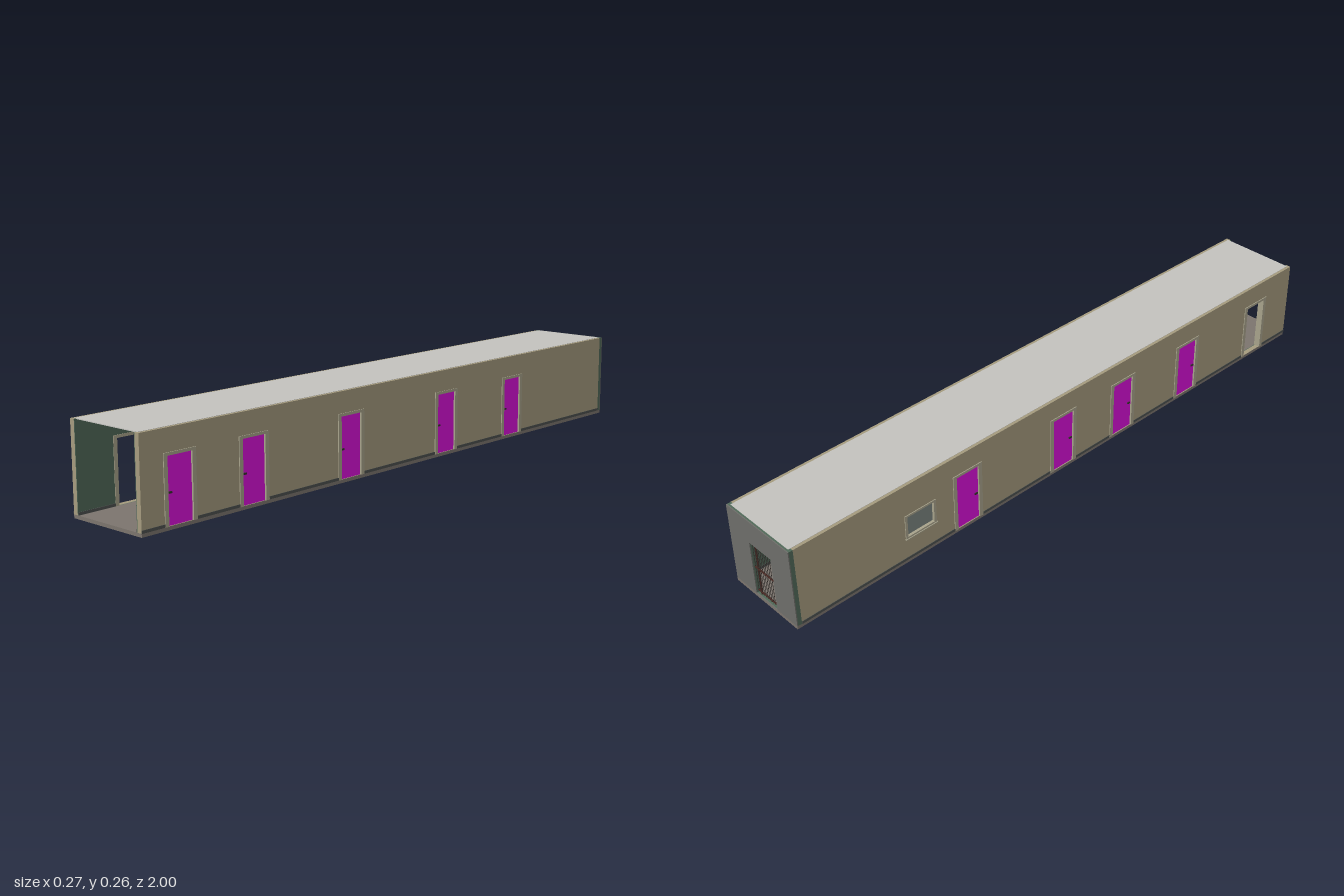
import * as THREE from 'three';

const mat = (color) => new THREE.MeshStandardMaterial({ color });
const beige = mat(0xa79d80), green = mat(0x526b5a), grey = mat(0x6f6f6b), dark = mat(0x4e5250);
const pale = mat(0xc6c5c1), floorMat = mat(0x7d766f), frameMat = mat(0xaaa58d), magenta = mat(0xdd10dd);
const iron = mat(0x35302d), cream = mat(0xb5ac8e), glass = mat(0x7c8681), brown = mat(0x4a2a24);

// Box given by its extents on each axis
function box(parent, name, material, x0, x1, y0, y1, z0, z1) {
  const m = new THREE.Mesh(new THREE.BoxGeometry(x1 - x0, y1 - y0, z1 - z0), material);
  m.position.set((x0 + x1) / 2, (y0 + y1) / 2, (z0 + z1) / 2);
  m.name = name;
  parent.add(m);
  return m;
}

// Upright panel with rectangular holes [u0, u1, y0, y1]
function panelGeometry(u0, u1, y0, y1, depth, holes) {
  const rect = (S, a, b, c, d) => {
    const s = new S();
    s.moveTo(a, c); s.lineTo(b, c); s.lineTo(b, d); s.lineTo(a, d); s.closePath();
    return s;
  };
  const shape = rect(THREE.Shape, u0, u1, y0, y1);
  for (const h of holes) shape.holes.push(rect(THREE.Path, ...h));
  return new THREE.ExtrudeGeometry(shape, { depth, bevelEnabled: false });
}

// Panel running along z, between x0 and x1
function sidePanel(parent, name, material, x0, x1, holes) {
  const flipped = holes.map(([a, b, c, d]) => [-b, -a, c, d]);
  const m = new THREE.Mesh(panelGeometry(-1, 0.985, 0.01, 0.258, x1 - x0, flipped), material);
  m.rotation.y = Math.PI / 2;
  m.position.x = x0;
  m.name = name;
  parent.add(m);
}

// Panel running along x, between z0 and z1
function endPanel(parent, name, material, z0, z1, hole) {
  const m = new THREE.Mesh(panelGeometry(-0.132, 0.132, 0.01, 0.258, z1 - z0, [hole]), material);
  m.position.z = z0;
  m.name = name;
  parent.add(m);
}

const DOOR_TOP = 0.19, HALF = 0.042;

// Frame around an opening and, if wanted, the closed leaf; side is +1 or -1
function doorway(parent, side, z, leaf) {
  const g = new THREE.Group();
  g.name = leaf ? 'door' : 'openDoorway';
  const xs = (a, b) => side > 0 ? [a, b] : [-b, -a];
  const [f0, f1] = xs(0.1135, 0.1345);
  for (const s of [-1, 1]) {
    const c = z + s * (HALF + 0.004);
    box(g, 'doorJamb', frameMat, f0, f1, 0.01, DOOR_TOP + 0.006, c - 0.006, c + 0.006);
  }
  box(g, 'doorHead', frameMat, f0, f1, DOOR_TOP - 0.002, DOOR_TOP + 0.006, z - HALF, z + HALF);
  if (leaf) {
    box(g, 'doorLeaf', magenta, ...xs(0.119, 0.129), 0.01, DOOR_TOP - 0.002, z - 0.04, z + 0.04);
    box(g, 'doorHandle', iron, ...xs(0.116, 0.132), 0.092, 0.097, z + 0.026, z + 0.036);
  }
  parent.add(g);
}

// Window frame, pane and sill in the right wall
function windowUnit(parent, z) {
  const g = new THREE.Group();
  g.name = 'window';
  for (const s of [-1, 1]) {
    const c = z + s * 0.05;
    box(g, 'windowSideFrame', frameMat, -0.1345, -0.1135, 0.082, 0.16, c - 0.004, c + 0.004);
    const y = s > 0 ? 0.157 : 0.085;
    box(g, 'windowRail', frameMat, -0.1345, -0.1135, y - 0.003, y + 0.003, z - 0.046, z + 0.046);
  }
  box(g, 'windowPane', glass, -0.126, -0.123, 0.088, 0.154, z - 0.046, z + 0.046);
  box(g, 'windowSill', frameMat, -0.137, -0.113, 0.08, 0.083, z - 0.056, z + 0.056);
  parent.add(g);
}

// Skirting inside and outside a wall, interrupted at the doorways
function skirting(parent, side, doors) {
  let start = -0.985;
  const stops = [...doors].sort((a, b) => a - b).map((z) => [z - HALF - 0.01, z + HALF + 0.01]);
  for (const [a, b] of [...stops, [1, 1]]) {
    for (const [x0, x1] of [[0.113, 0.115], [0.132, 0.1335]]) {
      box(parent, 'skirting', dark, side > 0 ? x0 : -x1, side > 0 ? x1 : -x0, 0.01, 0.018, start, a);
    }
    start = b;
  }
}

// Barred gate in the end wall
function gate(parent) {
  const g = new THREE.Group();
  g.name = 'barredGate';
  const bar = new THREE.CylinderGeometry(0.0009, 0.0009, 0.173, 6);
  for (let i = 0; i <= 11; i++) {
    const m = new THREE.Mesh(bar, iron);
    m.position.set(-0.044 + i * 0.008, 0.0965, -0.992);
    m.name = 'gateBar';
    g.add(m);
  }
  for (const y of [0.018, 0.098, 0.177]) box(g, 'gateRail', brown, -0.047, 0.045, y - 0.0015, y + 0.0015, -0.994, -0.990);
  box(g, 'gatePost', brown, 0.028, 0.031, 0.01, 0.183, -0.994, -0.990);
  parent.add(g);
}

// Simple chair with its back to the right wall
function chair(parent, z) {
  const g = new THREE.Group();
  g.name = 'chair';
  box(g, 'chairSeat', brown, -0.108, -0.073, 0.047, 0.05, z - 0.018, z + 0.018);
  for (const s of [-1, 1]) {
    const c = z + s * 0.0165;
    box(g, 'chairBackLeg', brown, -0.109, -0.106, 0.01, 0.085, c - 0.0015, c + 0.0015);
    box(g, 'chairFrontLeg', brown, -0.076, -0.073, 0.01, 0.047, c - 0.0015, c + 0.0015);
  }
  box(g, 'chairBackrest', brown, -0.109, -0.107, 0.065, 0.085, z - 0.015, z + 0.015);
  parent.add(g);
}

// Lamp hanging close under the ceiling
function lamp(parent, z) {
  const g = new THREE.Group();
  g.name = 'ceilingLamp';
  box(g, 'lampMount', iron, -0.009, 0.009, 0.254, 0.256, z - 0.03, z + 0.03);
  box(g, 'lampStem', iron, -0.0015, 0.0015, 0.243, 0.254, z - 0.002, z + 0.002);
  const tube = new THREE.Mesh(new THREE.CylinderGeometry(0.003, 0.003, 0.06, 10), cream);
  tube.rotation.x = Math.PI / 2;
  tube.position.set(0, 0.249, z);
  tube.name = 'lampTube';
  g.add(tube);
  box(g, 'lampGuard', iron, -0.006, 0.006, 0.242, 0.2435, z - 0.03, z + 0.03);
  parent.add(g);
}

export function createModel() {
  const root = new THREE.Group();
  root.name = 'corridor';

  // Floor and ceiling slabs
  box(root, 'floor', floorMat, -0.132, 0.132, 0, 0.01, -1, 1);
  box(root, 'ceiling', pale, -0.123, 0.123, 0.2565, 0.2588, -0.992, 0.994);

  // Side walls: outer shell and painted inner lining
  const leftDoors = [0.875, 0.625, 0.255, -0.163, -0.49];
  const rightDoors = [0.5, 0.21, -0.04, -0.41], openDoor = 0.83, windowZ = -0.58;
  const hole = (z) => [z - HALF, z + HALF, 0.0101, DOOR_TOP];
  const leftHoles = leftDoors.map(hole);
  const rightHoles = [...rightDoors, openDoor].map(hole);
  rightHoles.push([windowZ - 0.048, windowZ + 0.048, 0.084, 0.158]);
  sidePanel(root, 'leftWall', beige, 0.117, 0.132, leftHoles);
  sidePanel(root, 'leftLining', green, 0.115, 0.117, leftHoles);
  sidePanel(root, 'rightWall', beige, -0.132, -0.117, rightHoles);
  sidePanel(root, 'rightLining', green, -0.117, -0.115, rightHoles);

  // End wall with the gate opening
  const opening = [-0.047, 0.045, 0.0101, 0.183];
  endPanel(root, 'backLining', green, -0.997, -0.985, opening);
  endPanel(root, 'backWall', grey, -1, -0.997, opening);
  for (const [a, b] of [[-0.113, -0.047], [0.045, 0.113]]) box(root, 'backSkirting', dark, a, b, 0.01, 0.018, -0.985, -0.983);
  gate(root);

  // Sign box above the gate
  box(root, 'signBox', dark, -0.053, 0.053, 0.189, 0.212, -0.985, -0.972);
  box(root, 'signPlate', cream, -0.022, 0.021, 0.197, 0.204, -0.972, -0.971);

  // Doors, window and skirting
  leftDoors.forEach((z) => doorway(root, 1, z, true));
  rightDoors.forEach((z) => doorway(root, -1, z, true));
  doorway(root, -1, openDoor, false);
  windowUnit(root, windowZ);
  skirting(root, 1, leftDoors);
  skirting(root, -1, [...rightDoors, openDoor]);

  // Furnishings
  chair(root, 0.64);
  chair(root, 0.69);
  box(root, 'cabinet', dark, 0.098, 0.113, 0.01, 0.07, 0.4, 0.46);
  box(root, 'smallBox', magenta, 0.099, 0.111, 0.01, 0.016, 0.465, 0.485);
  for (let i = 0; i < 5; i++) lamp(root, -0.8 + i * 0.4);
  return root;
}
